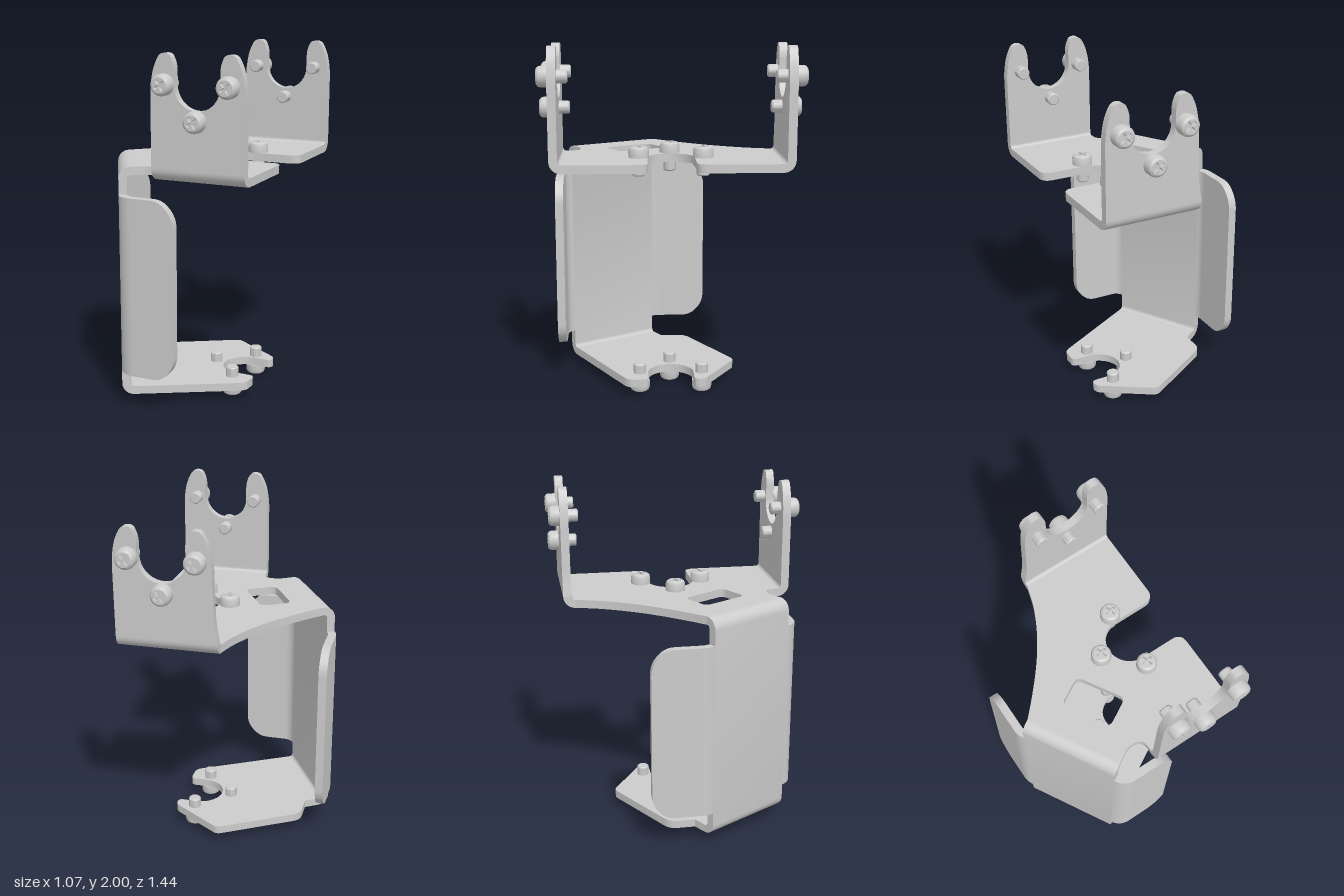
import * as THREE from 'three';
import { toCreasedNormals } from 'three/addons/utils/BufferGeometryUtils.js';

const T = 0.047;                      // sheet thickness
const TOP = 1.378, BASE = 0.112;      // upper faces of the two plates
const material = new THREE.MeshStandardMaterial({ color: 0xcccccc });
const V2 = (x, y) => new THREE.Vector2(x, y);
const V3 = (x, y, z) => new THREE.Vector3(x, y, z);
const X = V3(1, 0, 0), Y = V3(0, 1, 0), Z = V3(0, 0, 1);

// slanted wall: corner points in plan, direction along it and inward normal
const along = V3(0.5, 0, 0.866), inward = V3(0.866, 0, -0.5);
const P1 = V2(-0.535, 0.08), P2 = V2(-0.2, 0.66);
const wallStart = 0.04, wallEnd = 0.6;

// closed outline from [x, y, cornerLength] points
function outline(pts, Type = THREE.Shape) {
  const s = new Type(), n = pts.length;
  pts.forEach(([x, y, r = 0], i) => {
    const p = V2(x, y);
    const toward = (q) => V2(q[0], q[1]).sub(p).setLength(r).add(p);
    const a = r ? toward(pts[(i + n - 1) % n]) : p;
    if (i) s.lineTo(a.x, a.y); else s.moveTo(a.x, a.y);
    if (r) {
      const b = toward(pts[(i + 1) % n]);
      s.quadraticCurveTo(x, y, b.x, b.y);
    }
  });
  s.closePath();
  return s;
}

function arc(cx, cy, r, a0, a1, n = 18) {
  return Array.from({ length: n + 1 }, (_, i) => {
    const a = a0 + (a1 - a0) * i / n;
    return [cx + r * Math.cos(a), cy + r * Math.sin(a)];
  });
}

// section of bent sheet: path is the outer face, bends have outer radius R
function bentSection(path, R) {
  const p = path.map(([x, y]) => V2(x, y)), outer = [], inner = [];
  for (let i = 1; i < p.length - 1; i++) {
    const d1 = p[i].clone().sub(p[i - 1]).normalize();
    const d2 = p[i + 1].clone().sub(p[i]).normalize();
    const theta = Math.acos(d1.dot(d2)), turn = Math.sign(d1.cross(d2));
    const n = d2.clone().addScaledVector(d1, -d1.dot(d2)).normalize();
    const n2 = n.clone().rotateAround(V2(0, 0), turn * theta);
    const c = p[i].clone().addScaledVector(d1, -R * Math.tan(theta / 2)).addScaledVector(n, R);
    if (i === 1) { outer.push(p[0]); inner.push(p[0].clone().addScaledVector(n, T)); }
    for (let k = 0; k <= 7; k++) {
      const v = n.clone().negate().rotateAround(V2(0, 0), turn * theta * k / 7);
      outer.push(c.clone().addScaledVector(v, R));
      inner.push(c.clone().addScaledVector(v, R - T));
    }
    if (i === p.length - 2) {
      outer.push(p[i + 1]);
      inner.push(p[i + 1].clone().addScaledVector(n2, T));
    }
  }
  return new THREE.Shape([...outer, ...inner.reverse()]);
}

function addMesh(parent, name, geometry) {
  const m = new THREE.Mesh(toCreasedNormals(geometry, 0.55), material);
  m.name = name;
  parent.add(m);
  return m;
}

// extrude a shape lying in the plane of two axes
function sheet(parent, name, shape, depth, xAxis, yAxis, origin) {
  const g = new THREE.ExtrudeGeometry(shape, { depth, bevelEnabled: false, curveSegments: 8 });
  const basis = new THREE.Matrix4().makeBasis(xAxis, yAxis, xAxis.clone().cross(yAxis));
  g.applyMatrix4(basis.setPosition(origin));
  addMesh(parent, name, g);
}

// pan-head screw with a cross recess; the head sits outward along dir
function screw(parent, pos, dir, spin) {
  const s = new THREE.Group();
  s.name = 'screw';
  const rim = [[0, 0], [0.057, 0], [0.057, 0.038], [0.052, 0.052], [0.041, 0.06]];
  addMesh(s, 'screwHead', new THREE.LatheGeometry(rim.map(([x, y]) => V2(x, y)), 28));
  const face = new THREE.Shape().absarc(0, 0, 0.041, 0, Math.PI * 2);
  const w = 0.008, l = 0.033, cross = [];
  for (let i = 0; i < 4; i++) {
    const c = Math.cos(i * Math.PI / 2), k = Math.sin(i * Math.PI / 2);
    for (const [x, y] of [[l, -w], [l, w], [w, w]]) cross.push([x * c - y * k, x * k + y * c]);
  }
  face.holes.push(outline(cross, THREE.Path));
  const cap = new THREE.ExtrudeGeometry(face, { depth: 0.025, bevelEnabled: false, curveSegments: 14 });
  addMesh(s, 'crossRecess', cap.rotateX(-Math.PI / 2).translate(0, 0.035, 0));
  addMesh(s, 'recessFloor', new THREE.CircleGeometry(0.041, 20).rotateX(-Math.PI / 2).translate(0, 0.036, 0));
  const shaft = [[0, -0.105], [0.03, -0.105], [0.036, -0.098], [0.036, 0]];
  addMesh(s, 'screwShaft', new THREE.LatheGeometry(shaft.map(([x, y]) => V2(x, y)), 24));
  s.position.copy(pos);
  s.quaternion.setFromUnitVectors(Y, dir);
  s.rotateY(spin);
  parent.add(s);
}

// side wing, from a to b, with softened outer corners
function wing(a, b) {
  const s = Math.sign(b - a), lo = 0.215, hi = 1.225;
  return outline([[a, lo], [b - 0.08 * s, lo, 0.055], [b, lo + 0.09, 0.055],
    [b, hi - 0.09, 0.055], [b - 0.08 * s, hi, 0.055], [a, hi]]);
}

export function createModel() {
  const model = new THREE.Group();
  model.name = 'sheetMetalBracket';
  const wallPoint = (s) => V3(P1.x, 0, P1.y).addScaledVector(along, s);

  // slanted wall with its bends into both plates
  const channel = bentSection([[0.068, BASE - T], [0, BASE - T], [0, TOP], [0.068, TOP]], 0.067);
  sheet(model, 'slantedWall', channel, wallEnd - wallStart, inward, Y, wallPoint(wallStart));

  // bends from the wall into the wings
  const a = wallPoint(wallStart), b = wallPoint(wallEnd);
  sheet(model, 'rearWingBend', bentSection([[P1.x, 0.047], [P1.x, P1.y], [a.x, a.z]], 0.12),
    1.01, X, Z, V3(0, 1.225, 0));
  sheet(model, 'frontWingBend', bentSection([[b.x, b.z], [P2.x, P2.y], [-0.13, 0.66]], 0.115),
    1.01, X, Z, V3(0, 1.225, 0));
  sheet(model, 'rearWing', wing(0.047, -0.237), T, Z, Y, V3(P1.x + T, 0, 0));
  sheet(model, 'frontWing', wing(-0.13, 0.122), T, X, Y, V3(0, 0, 0.66 - T));

  // top plate with open slot, curved rear edge and window
  const slot = arc(0.27, 0, 0.132, Math.PI * 1.5, Math.PI * 0.5);
  const top = outline([
    [0.53, -0.593], [0.53, -0.132, 0.06], ...slot, [0.53, 0.132, 0.06], [0.53, 0.593],
    [0, 0.593], [0, 0.515, 0.06], [-0.1, 0.515, 0.035], [-0.177, 0.566], [-0.457, 0.081],
    [-0.38, 0, 0.05], [-0.28, -0.115, 0.06], [-0.2, -0.22, 0.06], [-0.12, -0.35, 0.06],
    [-0.06, -0.48, 0.05], [-0.028, -0.593],
  ]);
  top.holes.push(outline([[-0.258, 0.115, 0.04], [-0.1, 0.025, 0.04],
    [0.053, 0.275, 0.04], [-0.11, 0.367, 0.04]], THREE.Path));
  sheet(model, 'topPlate', top, T, X, Z, V3(0, TOP, 0));

  // bottom plate
  const bottom = outline([
    [-0.457, 0.081], [-0.385, 0.035], [-0.385, -0.115, 0.05], [0.07, -0.387, 0.03],
    [0.38, -0.19, 0.03], [0.38, -0.132, 0.03], ...slot, [0.38, 0.132, 0.03],
    [0.38, 0.25, 0.04], [-0.177, 0.566],
  ]);
  sheet(model, 'bottomPlate', bottom, T, X, Z, V3(0, BASE, 0));

  // upright flanges with a U notch, front and rear
  const low = TOP - T, u = 0.265;
  const ear = [[0.265, 1.85, 0.07], [0.24, 1.945, 0.04], [0.208, 2, 0.024], [0.155, 2, 0.024], [0.13, 1.94, 0.03]];
  for (const side of [1, -1]) {
    const name = side > 0 ? 'front' : 'rear', left = side > 0 ? 0 : -0.028;
    sheet(model, name + 'FlangeBend',
      bentSection([[side * 0.592, low], [side * 0.66, low], [side * 0.66, low + 0.068]], 0.067),
      0.53 - left, Z, Y, V3(0.53, 0, 0));
    const shape = outline([
      [left, low + 0.068], [0.53, low + 0.068],
      ...ear.map(([x, y, r]) => [u + x, y, r]),
      ...arc(u, 1.84, 0.13, 0, -Math.PI),
      ...ear.map(([x, y, r]) => [u - x, y, r]).reverse(),
      [side > 0 ? 0 : -0.008, 1.52, 0.05],
    ]);
    sheet(model, name + 'Flange', shape, T, X, Y, V3(0, 0, side > 0 ? 0.66 - T : -0.66));
    for (const [x, y] of [[0.08, 1.84], [0.445, 1.84], [0.262, 1.658]])
      screw(model, V3(x, y, side * 0.66), V3(0, 0, side), 0.6);
  }

  // screws of the two plates
  for (const [x, z] of [[0.08, 0], [0.262, 0.18], [0.262, -0.18]]) {
    screw(model, V3(x, TOP, z), Y, 0.25);
    screw(model, V3(x, BASE - T, z), V3(0, -1, 0), 0.25);
  }
  return model;
}
